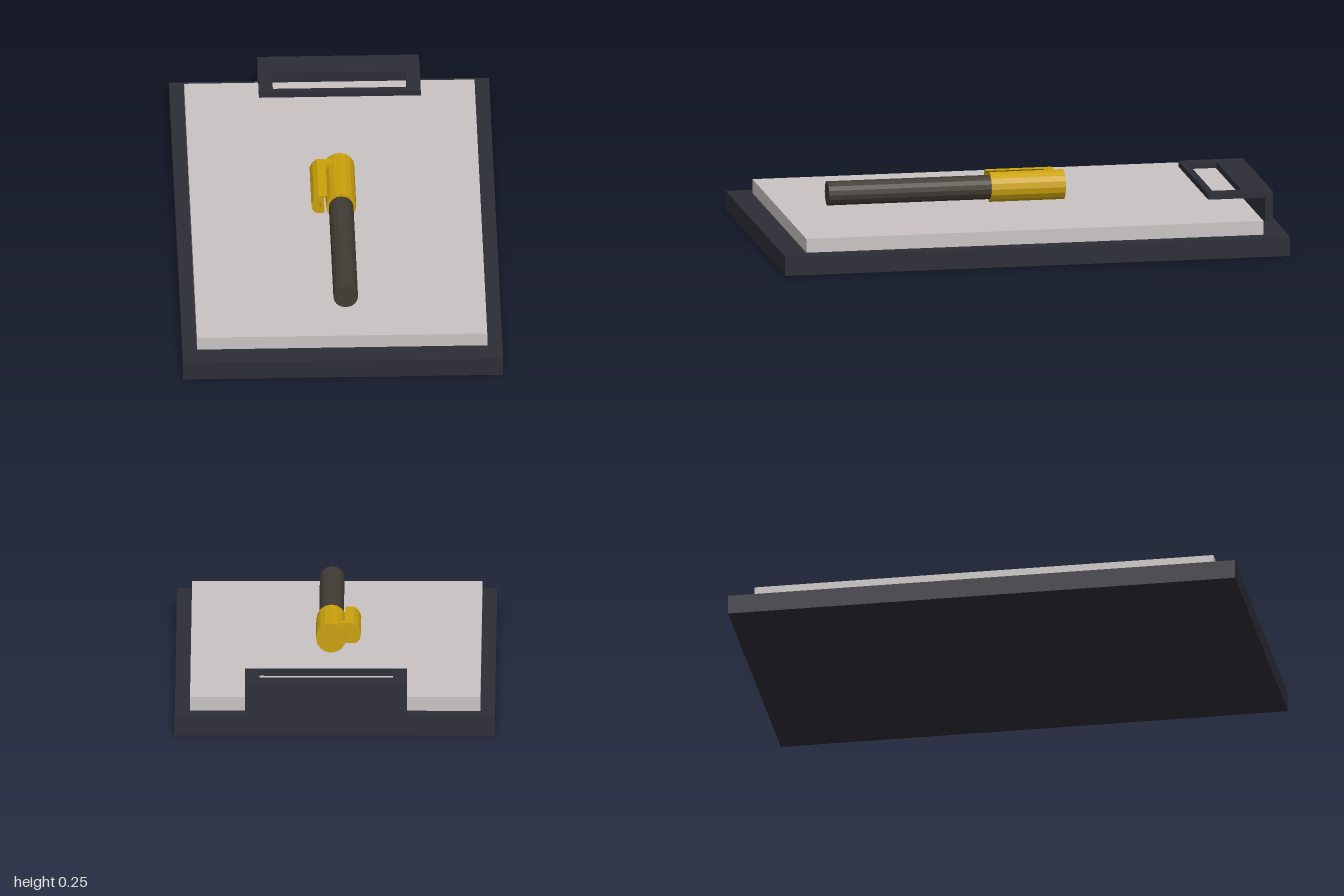
import * as THREE from 'three';

const material = (name, color, flatShading = false) => {
  const m = new THREE.MeshStandardMaterial({ color, flatShading });
  m.name = name;
  return m;
};

export function createModel() {
  const dark = material('darkSlate', 0x2d2d37);
  const paper = material('paperGrey', 0xc9c4c3);
  const gold = material('gold', 0xcba10c, true);
  const brown = material('darkBrown', 0x413c34, true);

  const model = new THREE.Group();
  model.name = 'clipboard';

  const add = (parent, name, geometry, mat, x = 0, y = 0, z = 0) => {
    const mesh = new THREE.Mesh(geometry, mat);
    mesh.name = name;
    mesh.position.set(x, y, z);
    parent.add(mesh);
    return mesh;
  };
  // Box given by its limits on each axis
  const box = (parent, name, mat, [x0, x1], [y0, y1], [z0, z1]) =>
    add(parent, name, new THREE.BoxGeometry(x1 - x0, y1 - y0, z1 - z0), mat,
      (x0 + x1) / 2, (y0 + y1) / 2, (z0 + z1) / 2);
  // Extrude an outline in the xy plane between two z positions
  const slab = (parent, name, mat, points, z0, z1) => {
    const shape = new THREE.Shape(points.map(([x, y]) => new THREE.Vector2(x, y)));
    return add(parent, name,
      new THREE.ExtrudeGeometry(shape, { depth: z1 - z0, bevelEnabled: false }), mat, 0, 0, z0);
  };

  // Board and stack of paper
  box(model, 'board', dark, [-0.623, 0.623], [0, 0.076], [-1, 1]);
  box(model, 'paperStack', paper, [-0.566, 0.564], [0.076, 0.131], [-0.905, 0.905]);

  // Clamp: upright back plate and a top plate with a window
  const clamp = new THREE.Group();
  clamp.name = 'clamp';
  model.add(clamp);
  box(clamp, 'clampBack', dark, [-0.28, 0.35], [0.076, 0.177], [-0.983, -0.952]);
  const rect = (path, x0, x1, z0, z1) =>
    path.moveTo(x0, -z0).lineTo(x0, -z1).lineTo(x1, -z1).lineTo(x1, -z0).closePath();
  const plate = new THREE.Shape();
  rect(plate, -0.28, 0.35, -0.983, -0.727);
  const hole = new THREE.Path();
  rect(hole, -0.225, 0.295, -0.868, -0.754);
  plate.holes.push(hole);
  const plateGeo = new THREE.ExtrudeGeometry(plate, { depth: 0.023, bevelEnabled: false });
  plateGeo.rotateX(-Math.PI / 2);
  add(clamp, 'clampTop', plateGeo, dark, 0, 0.177, 0);

  // Pen lying on the paper
  const pen = new THREE.Group();
  pen.name = 'pen';
  model.add(pen);
  const rod = (name, mat, radius, z0, z1) => {
    const geo = new THREE.CylinderGeometry(radius, radius, z1 - z0, 16);
    geo.rotateX(Math.PI / 2);
    add(pen, name, geo, mat, 0.018, 0.19, (z0 + z1) / 2);
  };
  rod('penBarrel', brown, 0.048, 0, 0.72);
  rod('penCap', gold, 0.059, -0.215, 0.078);

  // Curved pocket clip beside the cap, joined to it at the closed end
  const outer = [[-0.036, 0.242], [-0.07, 0.242], [-0.088, 0.227], [-0.098, 0.203],
    [-0.094, 0.178], [-0.08, 0.162], [-0.046, 0.162]];
  const inner = [[-0.06, 0.178], [-0.068, 0.203], [-0.057, 0.227]];
  slab(pen, 'pocketClip', gold, [...outer, ...inner], -0.185, 0.078);
  slab(pen, 'pocketClipBridge', gold, [[-0.01, 0.242], ...inner.slice().reverse().length
    ? [[-0.036, 0.242], [-0.057, 0.227], [-0.068, 0.203], [-0.06, 0.178], [-0.046, 0.162]] : [],
    [-0.01, 0.162]], -0.185, -0.145);

  return model;
}
